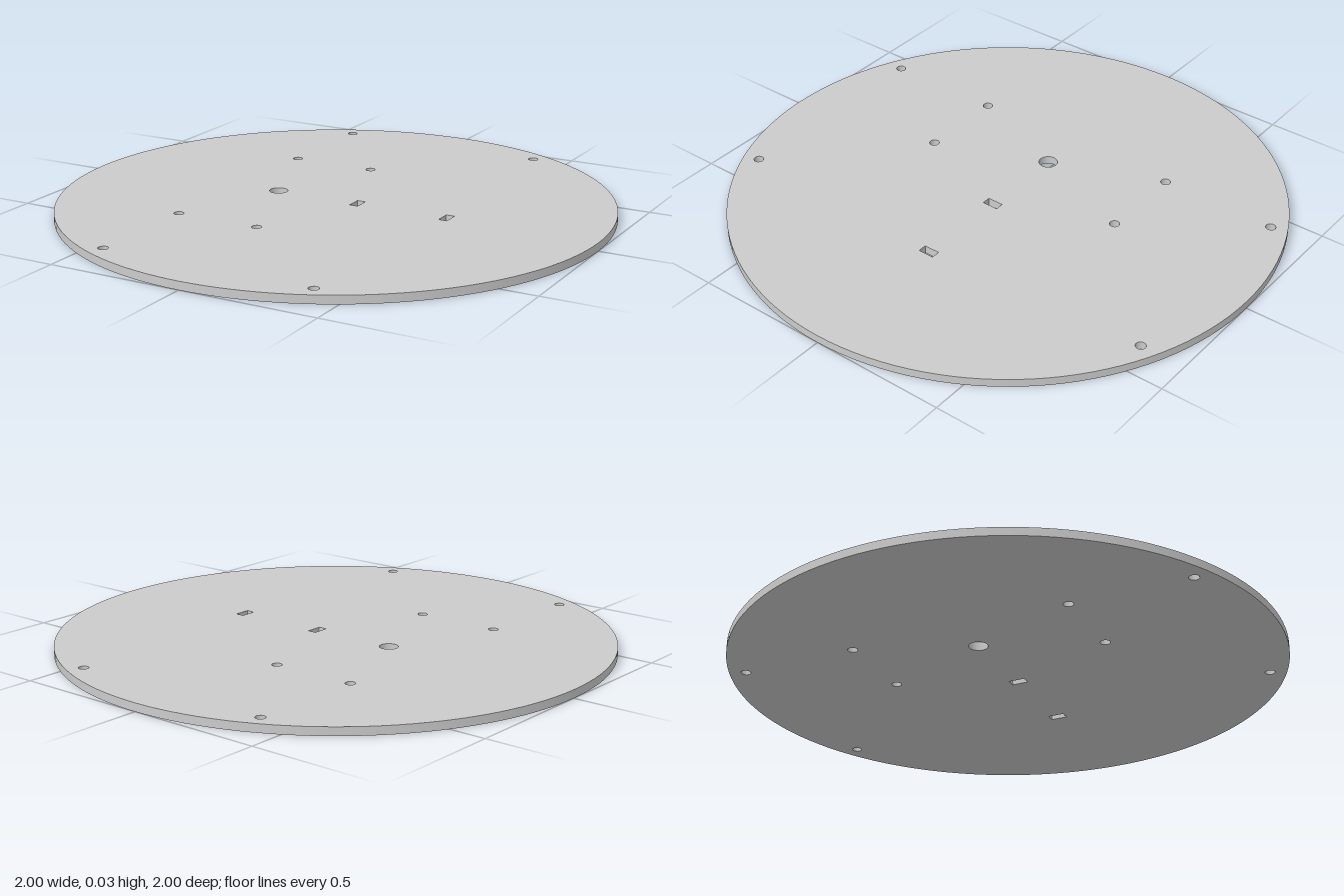
import * as THREE from 'three';
import { toCreasedNormals } from 'three/addons/utils/BufferGeometryUtils.js';

const THICKNESS = 0.03;

// Points of a circle, evenly spaced
function circle(x, y, r, n) {
  return Array.from({ length: n }, (_, i) => {
    const a = (i / n) * Math.PI * 2;
    return new THREE.Vector2(x + r * Math.cos(a), y + r * Math.sin(a));
  });
}

// Corners of a rectangle
function rect(x, y, w, h) {
  return [[-1, -1], [1, -1], [1, 1], [-1, 1]].map(
    ([sx, sy]) => new THREE.Vector2(x + (sx * w) / 2, y + (sy * h) / 2));
}

export function createModel() {
  const group = new THREE.Group();
  group.name = 'mountingPlate';

  const disc = new THREE.Shape(circle(0, 0, 1, 128));
  const cut = (points) => disc.holes.push(new THREE.Path(points));

  // Screw holes, mirrored front to back
  for (const side of [-1, 1]) {
    for (const [x, z] of [[-0.4, 0.85], [0.4, 0.85], [-0.4, 0.41], [-0.08, 0.41]]) {
      cut(circle(x, side * z, 0.018, 32));
    }
  }

  // Large centre-line hole and two slots
  cut(circle(-0.24, 0, 0.034, 40));
  for (const x of [0.088, 0.44]) cut(rect(x, 0, 0.032, 0.06));

  // Plate laid flat; normals are creased at a larger scale so small holes stay crisp
  let geometry = new THREE.ExtrudeGeometry(disc, { depth: THICKNESS, bevelEnabled: false });
  geometry.rotateX(-Math.PI / 2);
  geometry.scale(100, 100, 100);
  geometry = toCreasedNormals(geometry, Math.PI / 6);
  geometry.scale(0.01, 0.01, 0.01);

  const plate = new THREE.Mesh(geometry, new THREE.MeshStandardMaterial({ color: 0xcccccc }));
  plate.name = 'perforatedDisc';
  group.add(plate);
  return group;
}
